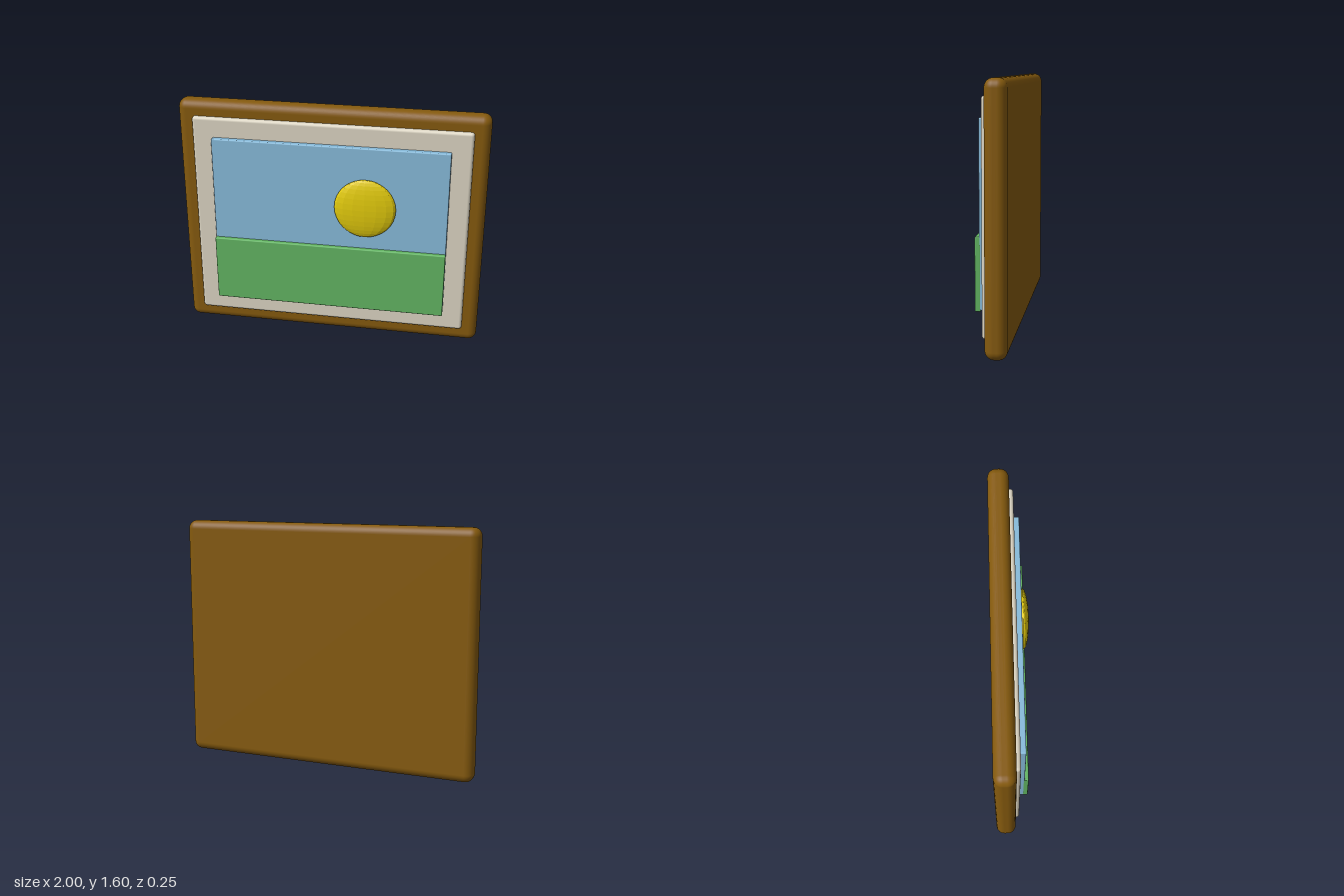
import * as THREE from 'three';
import { RoundedBoxGeometry } from 'three/addons/geometries/RoundedBoxGeometry.js';

const mat = (name, color, extra = {}) => {
  const m = new THREE.MeshStandardMaterial({ color, ...extra });
  m.name = name;
  return m;
};

export function createModel() {
  const group = new THREE.Group();
  group.name = 'framedPicture';

  const wood = mat('wood brown', 0x855a0e);
  const cream = mat('cream', 0xdcd5c3);
  const blue = mat('sky blue', 0x87bbdb);
  const green = mat('grass green', 0x62b562);
  const yellow = mat('sun yellow', 0xe3cb0c, { flatShading: true });

  // Rounded slab given by its half width and its y and z extents
  const slab = (name, material, halfW, y0, y1, z0, z1, radius) => {
    const geo = new RoundedBoxGeometry(halfW * 2, y1 - y0, z1 - z0, 5, radius);
    const mesh = new THREE.Mesh(geo, material);
    mesh.name = name;
    mesh.position.set(0, (y0 + y1) / 2, (z0 + z1) / 2);
    group.add(mesh);
  };

  // Stacked layers, from back to front
  slab('frame', wood, 1, 0, 1.6, -0.123, 0.01, 0.055);
  slab('mount', cream, 0.9, 0.1, 1.5, -0.03, 0.036, 0.02);
  slab('sky', blue, 0.768, 0.237, 1.37, 0.01, 0.071, 0.008);
  slab('meadow', green, 0.768, 0.228, 0.677, 0.06, 0.097, 0.008);

  // Flattened faceted sun, half sunk into the sky
  const sun = new THREE.Mesh(new THREE.SphereGeometry(0.2, 16, 16), yellow);
  sun.name = 'sun';
  sun.scale.z = 0.2;
  sun.position.set(0.238, 0.965, 0.083);
  group.add(sun);

  return group;
}
